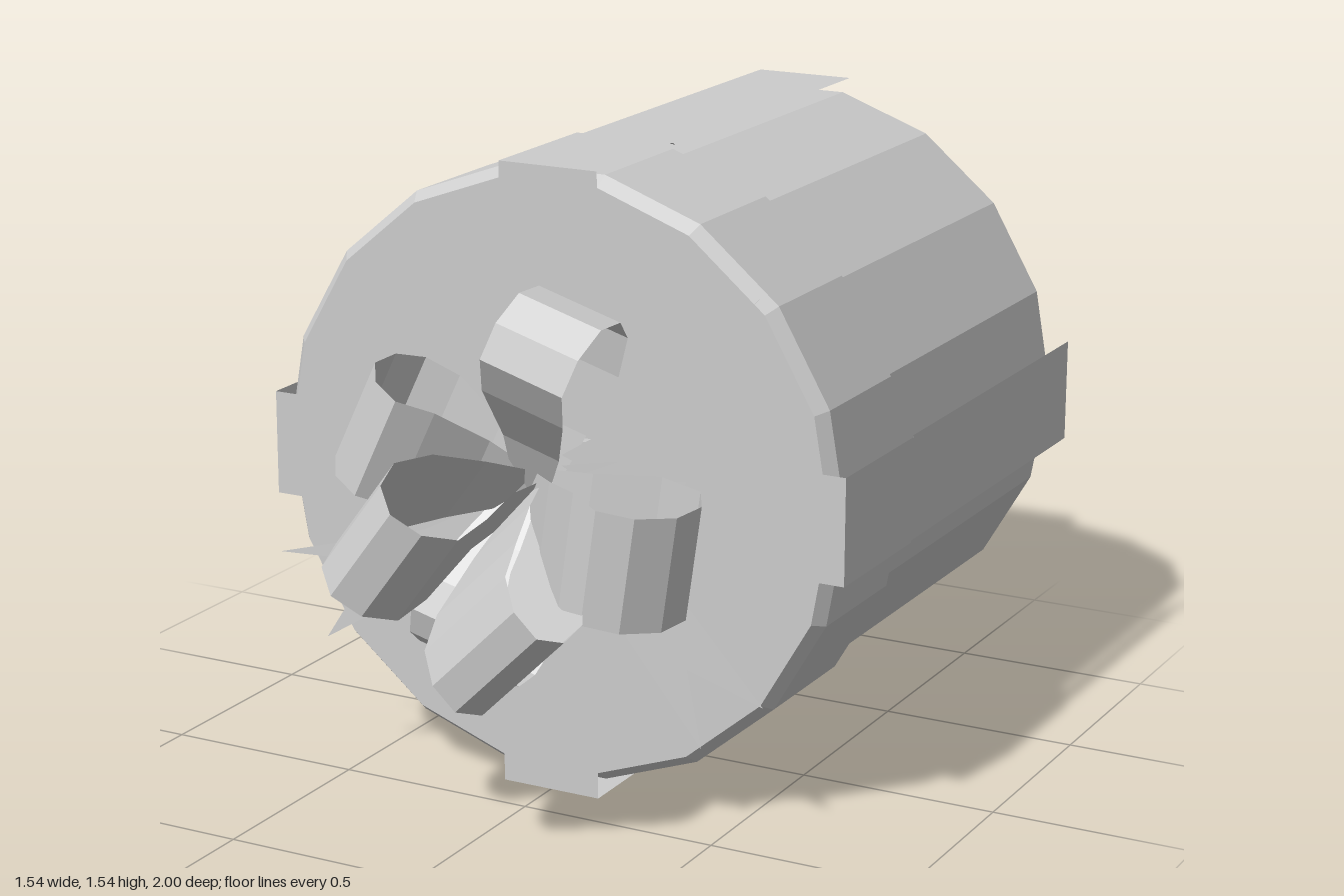
import * as THREE from 'three';

const V = (x, y, z) => new THREE.Vector3(x, y, z);

export function createModel() {
  const model = new THREE.Group();
  const grey = new THREE.MeshStandardMaterial({ color: 0xcccccc, side: THREE.DoubleSide });
  grey.name = 'light grey';

  function add(name, geometry, parent = model) {
    const flat = geometry.index ? geometry.toNonIndexed() : geometry;
    flat.computeVertexNormals();
    const mesh = new THREE.Mesh(flat, grey);
    mesh.name = name;
    parent.add(mesh);
    return mesh;
  }

  // Sheet joining a row of point pairs
  function strip(pairs) {
    const pos = [], index = [];
    pairs.forEach(([a, b], i) => {
      pos.push(...a.toArray(), ...b.toArray());
      const k = 2 * i;
      if (i) index.push(k - 2, k - 1, k, k - 1, k + 1, k);
    });
    const g = new THREE.BufferGeometry();
    g.setAttribute('position', new THREE.Float32BufferAttribute(pos, 3));
    g.setIndex(index);
    return g;
  }

  // Eighteen-sided round box and lid, lying along z
  function drum(name, profile) {
    const points = profile.map(([r, z]) => new THREE.Vector2(r, z));
    const g = new THREE.LatheGeometry(points, 18, Math.PI / 2);
    g.rotateX(Math.PI / 2);
    add(name, g).position.y = 0.785;
  }
  drum('boxBody', [[0, -0.965], [0.73, -0.965], [0.73, 0]]);
  drum('lid', [[0.7, 0], [0.755, 0], [0.755, 0.335], [0.73, 0.368], [0, 0.368]]);

  // Two ribbons folded over the box, stepping out where the lid begins
  const half = [[0.763, -1], [0.763, -0.015], [0.77, 0], [0.77, 0.373]];
  const path = [...half, ...half.map(([r, z]) => [-r, z]).reverse()];
  const ribbon = strip(path.map(([r, z]) => [V(r, -0.13, z), V(r, 0.13, z)]));
  const across = add('horizontalRibbon', ribbon);
  const upright = add('verticalRibbon', ribbon.clone());
  upright.rotation.z = Math.PI / 2;
  across.position.y = upright.position.y = 0.773;

  // Square knot at the ribbon crossing
  add('knot', new THREE.BoxGeometry(0.26, 0.26, 0.03)).position.set(0, 0.773, 0.386);

  // Bow loops: a teardrop section swept sideways, narrower at the root
  const bow = new THREE.Group();
  bow.name = 'bow';
  model.add(bow);
  const root = V(0, 0.78, 0.45);
  const section = [[0, -0.04], [0.3, -0.27], [0.6, -0.45], [0.8, -0.5], [0.94, -0.32], [1, 0],
    [0.94, 0.32], [0.8, 0.5], [0.6, 0.4], [0.3, 0.15], [0, 0.04]];
  function loop(name, tip, side, width, thick) {
    const out = tip.clone().sub(root);
    const w = side.clone().normalize();
    const n = w.clone().cross(out).normalize();
    add(name, strip(section.map(([u, v]) => {
      const c = root.clone().addScaledVector(out, u).addScaledVector(n, v * thick);
      const h = (width / 2) * Math.min(1, 0.4 + u);
      return [c.clone().addScaledVector(w, -h), c.clone().addScaledVector(w, h)];
    })), bow);
  }
  loop('upperLoop', V(0.165, 1.27, 0.61), V(0.96, -0.28, 0), 0.22, 0.28);
  loop('upperRightLoop', V(-0.4, 0.96, 0.59), V(0.43, 0.9, 0), 0.27, 0.27);
  loop('leftLoop', V(0.46, 0.7, 0.64), V(0.14, 0.99, 0), 0.28, 0.31);
  loop('frontLoop', V(-0.13, 0.76, 1.0), V(0.6, 0.8, 0), 0.27, 0.24);
  loop('lowerRightLoop', V(-0.11, 0.37, 0.57), V(0.97, -0.25, 0), 0.28, 0.22);
  loop('lowerLeftLoop', V(0.17, 0.5, 0.92), V(0.71, 0.7, 0), 0.3, 0.22);

  // Swallow-tailed ribbon ends lying against the lid
  function tail(name, outline, slope) {
    const g = new THREE.ShapeGeometry(
      new THREE.Shape(outline.map(([x, y]) => new THREE.Vector2(x, y))));
    const p = g.attributes.position;
    for (let i = 0; i < p.count; i++) {
      p.setZ(i, 0.43 + slope * Math.hypot(p.getX(i), p.getY(i) - 0.78));
    }
    add(name, g, bow);
  }
  tail('upperLeftTail', [[0, 0.8], [0.22, 0.88], [0.67, 1.11], [0.42, 1.13], [0.58, 1.31],
    [0.3, 1.02], [0.03, 0.85]], 0.01);
  tail('lowerRightTail', [[0, 0.8], [-0.3, 0.64], [-0.7, 0.53], [-0.44, 0.54], [-0.57, 0.33],
    [-0.2, 0.56], [0, 0.65]], 0.06);
  tail('lowerLeftTail', [[0, 0.76], [0.2, 0.5], [0.44, 0.21], [0.4, 0.4], [0.6, 0.34],
    [0.36, 0.6], [0.1, 0.82]], 0.01);
  tail('leftTail', [[0, 0.78], [0.36, 0.62], [0.4, 0.86], [0.22, 0.88], [0.03, 0.84]], 0.03);

  return model;
}
